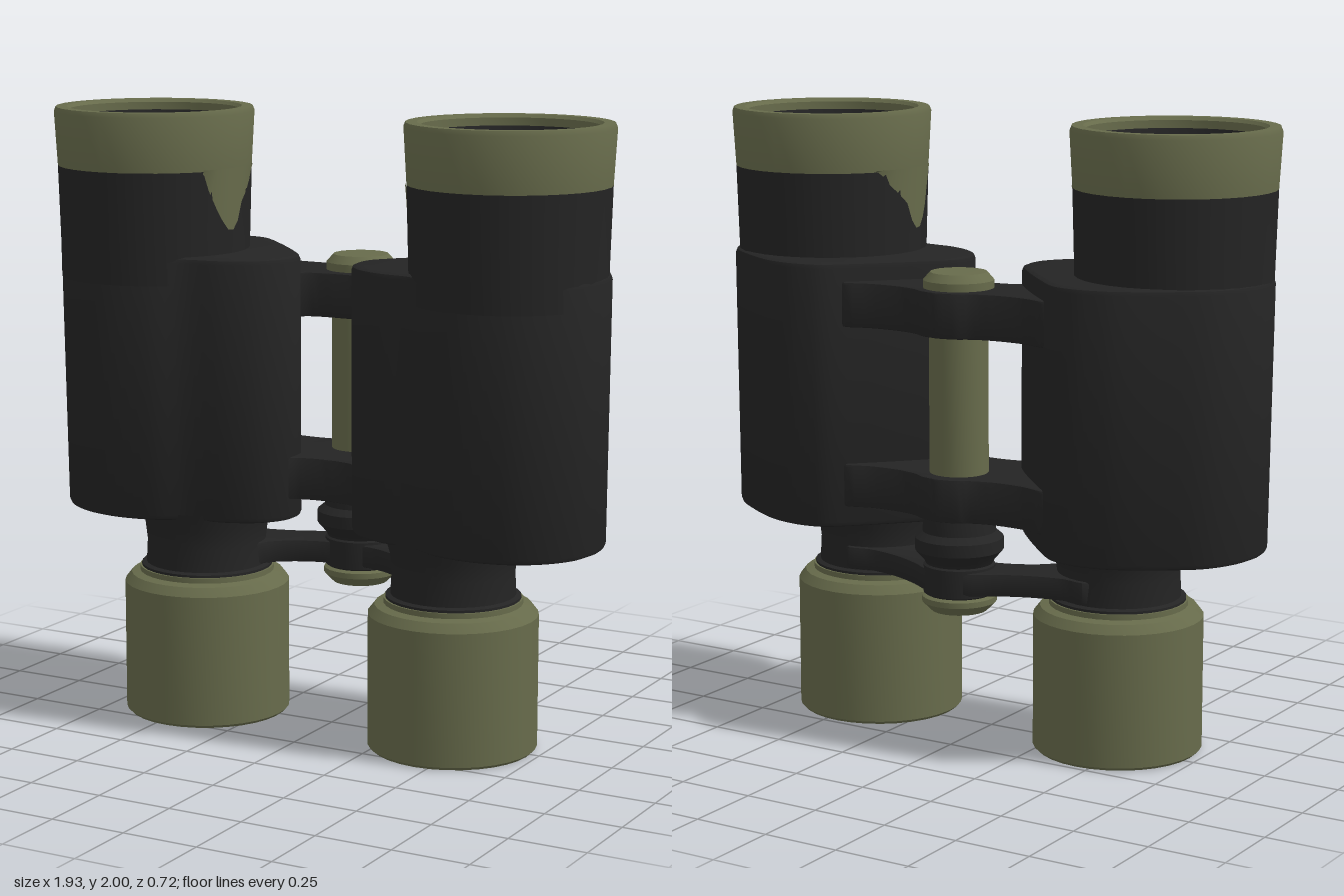
import * as THREE from 'three';
import { toCreasedNormals } from 'three/addons/utils/BufferGeometryUtils.js';

const green = new THREE.MeshStandardMaterial({ color: 0x676b4b });
green.name = 'olive green';
const black = new THREE.MeshStandardMaterial({ color: 0x242424 });
black.name = 'matt black';

export function createModel() {
  const model = new THREE.Group();
  model.name = 'binoculars';

  function add(parent, name, geometry, material, x = 0, y = 0, z = 0) {
    const mesh = new THREE.Mesh(toCreasedNormals(geometry, 0.55), material);
    mesh.name = name;
    mesh.position.set(x, y, z);
    parent.add(mesh);
    return mesh;
  }

  // Turned part from [radius, height] pairs, listed bottom to top
  const turned = (pairs, sides = 32) =>
    new THREE.LatheGeometry(pairs.map(([r, y]) => new THREE.Vector2(r, y)), sides);

  // Plan outline of [x, z] pairs raised from y0 to y1 with a small bevel
  function plate(pairs, y0, y1, bevel) {
    const pts = pairs.map(([x, z]) => new THREE.Vector2(x, -z));
    const shape = new THREE.Shape();
    shape.moveTo(pts[0].x, pts[0].y);
    shape.splineThru([...pts.slice(1), pts[0].clone()]);
    const geo = new THREE.ExtrudeGeometry(shape, {
      depth: y1 - y0 - 2 * bevel, steps: 1, curveSegments: 4,
      bevelEnabled: true, bevelThickness: bevel, bevelSize: bevel, bevelOffset: -bevel, bevelSegments: 2,
    });
    geo.rotateX(-Math.PI / 2);
    geo.translate(0, y0 + bevel, 0);
    return geo;
  }

  // Symmetric plate from the back half outline and the front half outline
  function bridge(back, front, y0, y1) {
    const half = [...back, ...front];
    const other = half.slice(1, -1).reverse().map(([x, z]) => [-x, z]);
    return plate([...half, ...other], y0, y1, 0.008);
  }

  const bodyOutline = [
    [0.955, 0.03], [0.94, -0.07], [0.88, -0.18], [0.77, -0.265], [0.65, -0.335], [0.57, -0.357],
    [0.5, -0.36], [0.42, -0.338], [0.33, -0.255], [0.23, -0.15], [0.145, -0.05], [0.117, 0.01],
    [0.122, 0.09], [0.18, 0.175], [0.28, 0.228], [0.4, 0.25], [0.51, 0.31], [0.64, 0.332],
    [0.77, 0.307], [0.87, 0.238], [0.935, 0.14],
  ];

  for (const side of [1, -1]) {
    const half = new THREE.Group();
    half.name = side > 0 ? 'leftBarrel' : 'rightBarrel';
    model.add(half);

    // Prism housing, a little slimmer at its foot
    const body = plate(bodyOutline.map(([x, z]) => [x * side, z]), 0.68, 1.54, 0.018);
    const p = body.attributes.position;
    for (let i = 0; i < p.count; i++) {
      const t = (p.getY(i) - 0.68) / 0.86;
      if (p.getZ(i) > 0) p.setZ(i, p.getZ(i) * (0.93 + 0.07 * t));
      p.setX(i, p.getX(i) * (0.993 + 0.007 * t));
    }
    add(half, 'prismHousing', body, black);

    // Objective tube, rim and recessed lens
    const ox = 0.64 * side, oz = 0.036;
    add(half, 'objectiveTube', turned([[0.308, 1.45], [0.309, 1.56], [0.316, 1.81]]), black, ox, 0, oz);
    add(half, 'objectiveRim', turned([
      [0.316, 1.81], [0.326, 1.985], [0.32, 2], [0.285, 2], [0.275, 1.99], [0.275, 1.965],
    ]), green, ox, 0, oz);
    add(half, 'objectiveLens', turned([
      [0.275, 1.965], [0.268, 1.94], [0.255, 1.94], [0.25, 1.915], [0.238, 1.915], [0.235, 1.9], [0, 1.91],
    ]), black, ox, 0, oz);

    // Olive patch running down from the rim on the inner side
    const patch = new THREE.CylinderGeometry(0.319, 0.319, 1, 12, 1, true, -side * Math.PI / 2 - 0.5, 1.0);
    const q = patch.attributes.position;
    for (let i = 0; i < q.count; i++) {
      const a = Math.atan2(q.getZ(i), -side * q.getX(i));
      const drop = a > -0.05 ? 0.2 - 0.8 * Math.abs(a - 0.12) ** 1.5 : 0.13 * (1 + a / 0.5);
      const top = q.getY(i) > 0;
      const r = top ? 1 : 0.3135 / 0.319;
      q.setXYZ(i, q.getX(i) * r, top ? 1.815 : 1.81 - Math.max(0, drop), q.getZ(i) * r);
    }
    patch.computeVertexNormals();
    add(half, 'rimPatch', patch, green, ox, 0, oz);

    // Neck, eyecup and eye lens
    const ex = 0.457 * side, ez = 0.03;
    add(half, 'eyepieceNeck', turned([
      [0.216, 0.485], [0.216, 0.5], [0.2, 0.505], [0.196, 0.58], [0.203, 0.64], [0.222, 0.7],
    ]), black, ex, 0, ez);
    add(half, 'eyecup', turned([
      [0.165, 0.06], [0.182, 0], [0.262, 0], [0.272, 0.01], [0.272, 0.44], [0.25, 0.468],
      [0.222, 0.475], [0.222, 0.492], [0.18, 0.492],
    ]), green, ex, 0, ez);
    add(half, 'eyeLens', turned([[0, 0.085], [0.145, 0.085], [0.165, 0.06]]), black, ex, 0, ez);
  }

  // Hinge brackets joining the housings
  const hingeBack = [[0, -0.33], [0.06, -0.318], [0.11, -0.29], [0.18, -0.274], [0.28, -0.276], [0.38, -0.298]];
  add(model, 'upperBracket', bridge(hingeBack,
    [[0.4, -0.2], [0.27, -0.04], [0.16, -0.01], [0.1, -0.045], [0, -0.053]], 1.335, 1.48), black);
  add(model, 'lowerBracket', bridge(hingeBack,
    [[0.4, -0.2], [0.3, 0.06], [0.16, 0.095], [0.09, 0.055], [0, 0.042]], 0.75, 0.89), black);

  // Centre rod, cap and focus wheel
  const hz = -0.195;
  add(model, 'centreRod', turned([[0.094, 0.87], [0.094, 1.36]], 24), green, 0, 0, hz);
  add(model, 'hingeCap', turned([[0.112, 1.47], [0.112, 1.505], [0.09, 1.53], [0, 1.532]], 24), green, 0, 0, hz);
  add(model, 'focusWheel', turned([
    [0, 0.58], [0.1, 0.58], [0.115, 0.61], [0.142, 0.64], [0.142, 0.68], [0.118, 0.7], [0.112, 0.76],
  ], 24), black, 0, 0, hz);

  // Eyepiece bridge and its end knob
  add(model, 'eyepieceBridge', bridge(
    [[0, -0.3], [0.07, -0.285], [0.15, -0.235], [0.25, -0.19], [0.36, -0.165], [0.46, -0.168]],
    [[0.5, 0], [0.42, 0.12], [0.3, 0.1], [0.23, -0.02], [0.12, -0.085], [0, -0.1]], 0.508, 0.582), black);
  add(model, 'bridgeHub', turned([[0.1, 0.49], [0.115, 0.5], [0.115, 0.59], [0.1, 0.6], [0, 0.6]], 24), black, 0, 0, hz);
  add(model, 'endKnob', turned([[0, 0.44], [0.09, 0.44], [0.12, 0.47], [0.12, 0.488], [0.105, 0.496], [0, 0.498]], 24),
    green, 0, 0, hz);

  return model;
}
